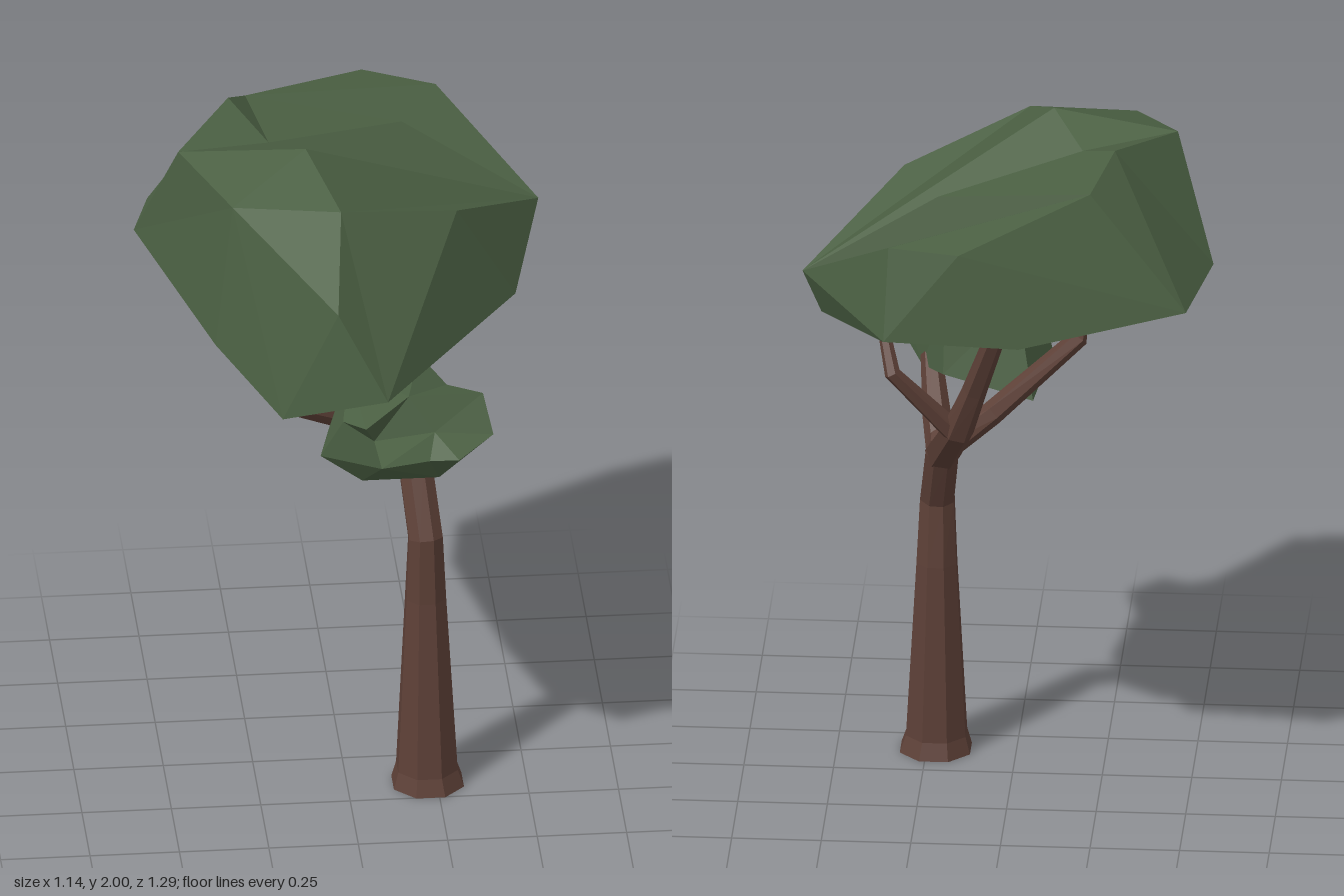
import * as THREE from 'three';

const leafGreen = new THREE.MeshStandardMaterial({ color: 0x4b6043 });
const barkBrown = new THREE.MeshStandardMaterial({ color: 0x5d4037 });

function facetedMesh(name, geo, material) {
  geo.computeVertexNormals();
  const mesh = new THREE.Mesh(geo, material);
  mesh.name = name;
  return mesh;
}

// Faceted limb: rings of `sides` corners along a path of [x, y, z, radius]
function limb(name, path, sides) {
  const centres = path.map(p => new THREE.Vector3(p[0], p[1], p[2]));
  const pos = [], index = [];
  centres.forEach((c, i) => {
    const before = centres[Math.max(i - 1, 0)], after = centres[Math.min(i + 1, centres.length - 1)];
    const dir = after.clone().sub(before).normalize();
    if (path[i][1] < 0.1) dir.set(0, 1, 0);
    const turn = new THREE.Quaternion().setFromUnitVectors(new THREE.Vector3(0, 1, 0), dir);
    for (let k = 0; k < sides; k++) {
      const a = ((k + 0.5) / sides) * Math.PI * 2;
      const v = new THREE.Vector3(Math.sin(a), 0, Math.cos(a)).multiplyScalar(path[i][3]);
      pos.push(...v.applyQuaternion(turn).add(c).toArray());
    }
  });
  const last = (path.length - 1) * sides;
  for (let k = 0; k < sides; k++) {
    const n = (k + 1) % sides;
    for (let r = 0; r < last; r += sides) {
      index.push(r + k, r + n, r + sides + n, r + k, r + sides + n, r + sides + k);
    }
    if (k > 0 && k < sides - 1) index.push(0, k + 1, k, last, last + k, last + k + 1); // end caps
  }
  const indexed = new THREE.BufferGeometry();
  indexed.setAttribute('position', new THREE.Float32BufferAttribute(pos, 3));
  indexed.setIndex(index);
  return facetedMesh(name, indexed.toNonIndexed(), barkBrown);
}

// Leaf mass from lettered corners; each fan joins its first corner to every following pair,
// and every triangle is turned to face away from the centre
function foliage(name, centre, corners, fans) {
  const c = new THREE.Vector3(...centre);
  const triangles = [], tri = new THREE.Triangle();
  const normal = new THREE.Vector3(), mid = new THREE.Vector3();
  for (const fan of fans) {
    const [hub, ...ring] = [...fan].map(k => new THREE.Vector3(...corners[k]));
    for (let i = 0; i + 1 < ring.length; i++) {
      tri.set(hub, ring[i], ring[i + 1]);
      tri.getNormal(normal);
      const outward = normal.dot(tri.getMidpoint(mid).sub(c)) > 0;
      triangles.push(hub, ...(outward ? [ring[i], ring[i + 1]] : [ring[i + 1], ring[i]]));
    }
  }
  return facetedMesh(name, new THREE.BufferGeometry().setFromPoints(triangles), leafGreen);
}

export function createModel() {
  const tree = new THREE.Group();
  tree.name = 'tree';

  // Trunk with flared foot, leaning back at the top
  tree.add(limb('trunk', [
    [0.225, 0, 0.155, 0.106], [0.223, 0.05, 0.155, 0.09], [0.221, 0.58, 0.138, 0.06],
    [0.22, 0.77, 0.143, 0.051], [0.2, 0.95, 0.06, 0.05], [0.195, 1.0, 0.035, 0.038],
  ], 8));

  // Branches
  tree.add(limb('backBranch', [
    [0.2, 0.94, 0.06, 0.05], [0.14, 1.12, -0.175, 0.044], [0.09, 1.27, -0.24, 0.035], [0, 1.56, -0.38, 0.027],
  ], 6));
  tree.add(limb('thinBranch', [
    [0.15, 1.11, -0.17, 0.034], [0.32, 1.31, -0.23, 0.023], [0.37, 1.5, -0.13, 0.013],
  ], 6));
  tree.add(limb('frontBranch', [
    [0.2, 0.94, 0.06, 0.045], [0.22, 1.03, 0.12, 0.04], [0.25, 1.17, 0.29, 0.028],
  ], 6));
  tree.add(limb('sideBranch', [
    [0.19, 0.98, 0.01, 0.04], [0.06, 1.08, 0.03, 0.034], [-0.17, 1.24, 0.2, 0.027], [-0.18, 1.4, 0.23, 0.023],
  ], 6));

  // Large canopy with a valley running across its top
  tree.add(foliage('canopy', [0, 1.65, 0], {
    // crown
    B: [-0.11, 1.99, 0.09], L: [-0.46, 1.96, 0.02], K: [-0.33, 1.91, 0.265], M: [-0.3, 1.998, -0.21],
    S: [-0.24, 1.925, -0.35], T: [0.19, 1.868, -0.265], U: [-0.2, 1.93, -0.065], N: [-0.03, 1.9, 0.3],
    Q: [0.31, 1.79, 0.12], R: [0.31, 1.83, -0.54], G: [0.11, 1.845, -0.615],
    // rim
    A: [-0.06, 1.71, 0.55], F: [0.07, 1.48, 0.645], P: [0.57, 1.62, -0.24], C: [0.32, 1.57, -0.6],
    D: [-0.06, 1.58, -0.65], E: [-0.51, 1.59, -0.39], H: [-0.57, 1.63, -0.14], I: [-0.38, 1.49, 0.29],
    // underside
    J: [0.48, 1.48, 0.05], V: [0.52, 1.48, -0.2], W: [0.2, 1.36, 0.07], X: [-0.21, 1.355, 0.49],
    Y: [-0.46, 1.49, -0.08],
  }, ['PCRSTUBNQJVC', 'STUMEGR', 'MEHLU', 'ULB', 'BLKN', 'KLHIXAN', 'FXANQJWX',
    'HIYE', 'WXIYVJ', 'VYEDC', 'GEDCR']));

  // Small spiky leaf cluster with a shelf across its front
  tree.add(foliage('lowerLeaves', [0.08, 1.2, 0.28], {
    // top
    e: [0.15, 1.36, 0.4], d: [0.36, 1.345, 0.37], c: [0.27, 1.31, 0.25], b: [0.2, 1.36, 0.16],
    a: [0, 1.345, 0.2], k: [0.02, 1.33, 0.525], f: [-0.035, 1.3, 0.42],
    // shelf
    m: [0.05, 1.245, 0.44], o: [0.22, 1.26, 0.43], r: [0.385, 1.24, 0.42], g: [0.28, 1.22, 0.525],
    t: [0.2, 1.21, 0.505], s: [0.06, 1.225, 0.565],
    // underside
    l: [-0.09, 1.145, 0.33], p: [-0.05, 1.09, 0.1], q: [0.02, 1.1, 0.4], u: [0.235, 1.1, 0.4],
    v: [0.08, 1.15, 0.28], w: [0.2, 1.17, 0.085], x: [0.27, 1.12, 0.26],
  }, ['edcbakmod', 'kafm', 'mfs', 'orgtsm', 'fals', 'alpwb', 'bwxc', 'dorxc',
    'rxug', 'ugtsq', 'slq', 'vlpwxuql']));

  return tree;
}
